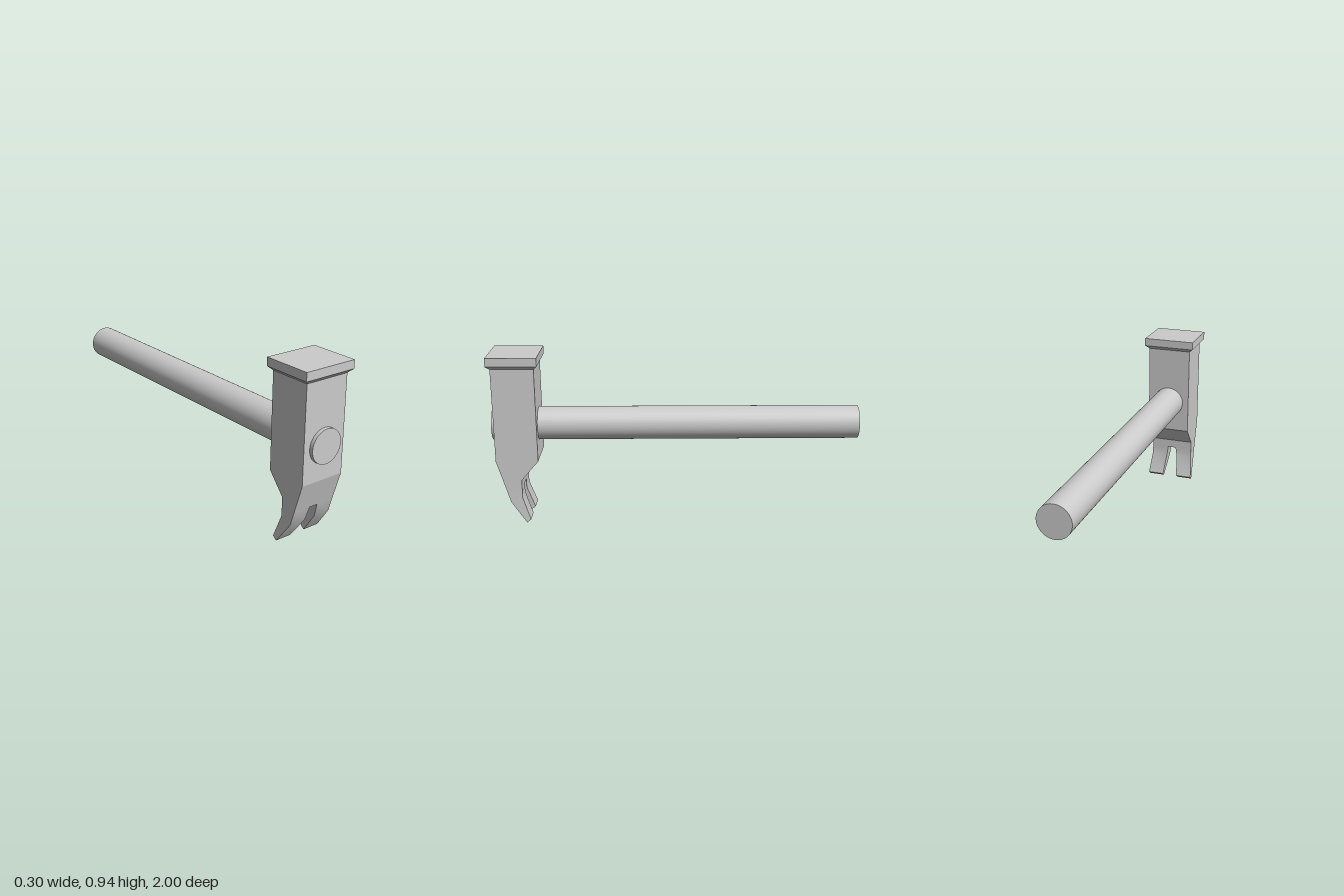
import * as THREE from 'three';
import { toCreasedNormals } from 'three/addons/utils/BufferGeometryUtils.js';

const material = new THREE.MeshStandardMaterial({ color: 0xcccccc });
const HALF = 0.127;   // half width of the head
const CROTCH = 0.195; // height where the claw splits

function mesh(name, geometry) {
  const m = new THREE.Mesh(geometry, material);
  m.name = name;
  return m;
}

// Skin over four-cornered sections listed from top to bottom.
// Section: x0, x1, front [z, y], back [z, y]
function loft(sections, crease) {
  const rings = sections.map(({ x0, x1, front: [zf, yf], back: [zb, yb] }) => [
    [x1, yf, zf], [x1, yb, zb], [x0, yb, zb], [x0, yf, zf],
  ]);
  const pos = [];
  const quad = (a, b, c, d) => pos.push(...a, ...b, ...c, ...a, ...c, ...d);
  for (let i = 0; i < rings.length - 1; i++) {
    for (let j = 0; j < 4; j++) {
      const k = (j + 1) % 4;
      quad(rings[i][j], rings[i + 1][j], rings[i + 1][k], rings[i][k]);
    }
  }
  const last = rings[rings.length - 1];
  quad(...rings[0]);
  quad(last[3], last[2], last[1], last[0]);
  const geometry = new THREE.BufferGeometry();
  geometry.setAttribute('position', new THREE.Float32BufferAttribute(pos, 3));
  return toCreasedNormals(geometry, crease);
}

// Head block with the tapered, unsplit start of the claw
function headBlock() {
  const profile = [[0.98, 0.87], [0.98, 0.355], [0.932, CROTCH], [0.845, CROTCH],
    [0.845, 0.245], [0.75, 0.355], [0.75, 0.87]];
  const shape = new THREE.Shape(profile.map(([z, y]) => new THREE.Vector2(z, y)));
  const geometry = new THREE.ExtrudeGeometry(shape, { depth: 2 * HALF, bevelEnabled: false });
  return geometry.rotateY(-Math.PI / 2).translate(HALF, 0, 0);
}

// One prong: bends backward and flares slightly towards the tip
function prong(side) {
  const levels = [
    { front: [0.932, CROTCH], back: [0.845, CROTCH], inner: 0.025, outer: HALF },
    { front: [0.91, 0.12], back: [0.845, 0.142], inner: 0.032, outer: HALF + 0.001 },
    { front: [0.826, 0], back: [0.803, 0.018], inner: 0.045, outer: 0.14 },
  ];
  return loft(levels.map(({ front, back, inner, outer }) => ({
    front, back,
    x0: side > 0 ? inner : -outer,
    x1: side > 0 ? outer : -inner,
  })), 0.5);
}

// Striking face: bevelled underside, flat square plate
function strikingFace() {
  const level = (y, half, front, back) => ({ x0: -half, x1: half, front: [front, y], back: [back, y] });
  return loft([
    level(0.935, 0.15, 1, 0.73),
    level(0.89, 0.15, 1, 0.73),
    level(0.87, HALF, 0.98, 0.75),
  ], 0.1);
}

export function createModel() {
  const model = new THREE.Group();
  model.name = 'clawHammer';

  const head = new THREE.Group();
  head.name = 'head';
  head.add(mesh('headBlock', headBlock()), mesh('strikingFace', strikingFace()));
  head.add(mesh('leftProng', prong(1)), mesh('rightProng', prong(-1)));

  // Round handle running right through the head
  const handle = mesh('handle', new THREE.CylinderGeometry(0.091, 0.091, 2, 64).rotateX(Math.PI / 2));
  handle.position.y = 0.536;

  model.add(head, handle);
  return model;
}
